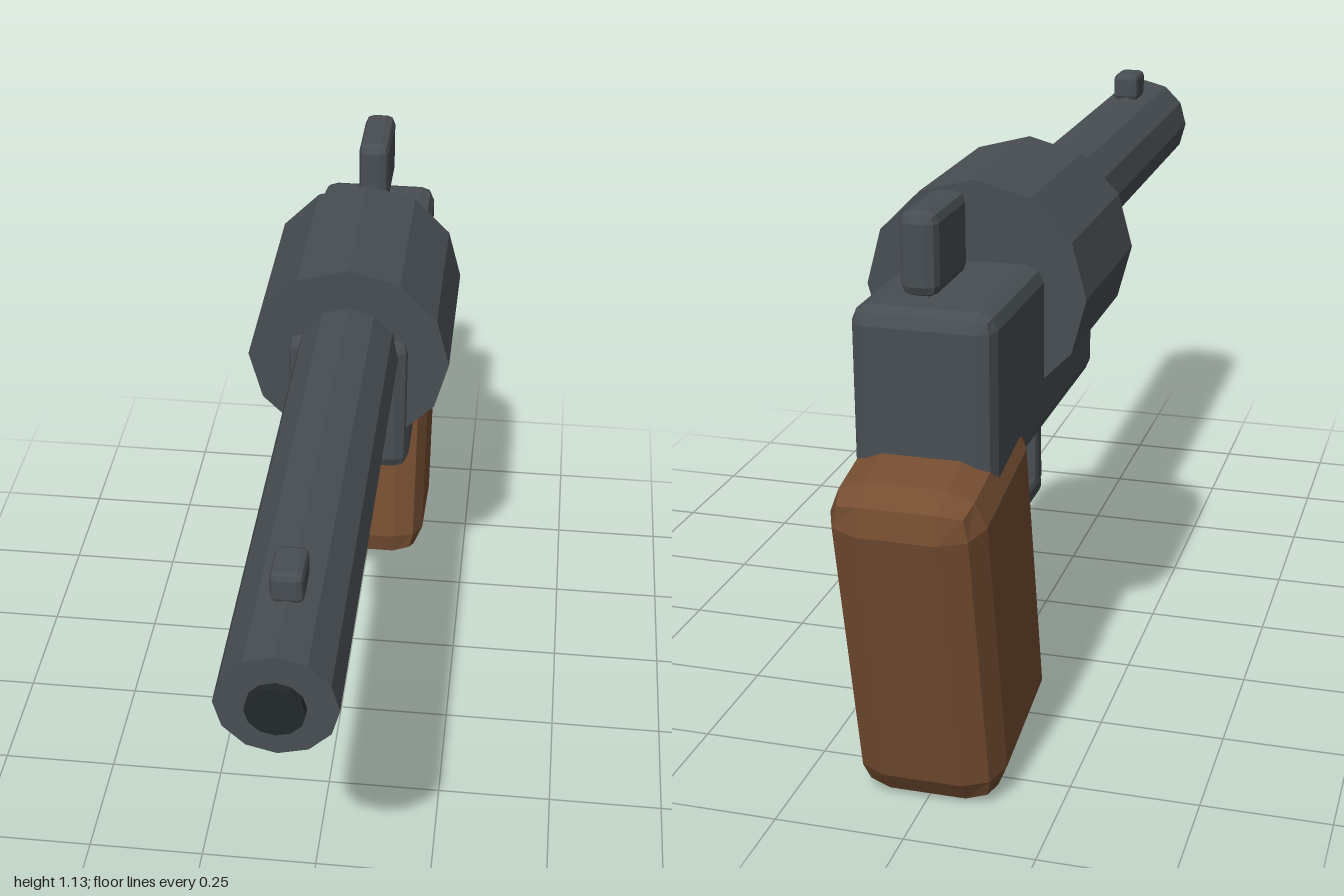
import * as THREE from 'three';
import { RoundedBoxGeometry } from 'three/addons/geometries/RoundedBoxGeometry.js';

const mat = (color) => new THREE.MeshStandardMaterial({ color, flatShading: true });

export function createModel() {
  const model = new THREE.Group();
  const steel = mat(0x484e53);
  const wood = mat(0x754d31);
  const dark = mat(0x23282b);

  const add = (name, geometry, material, y, z) => {
    const mesh = new THREE.Mesh(geometry, material);
    mesh.name = name;
    mesh.position.set(0, y, z);
    model.add(mesh);
    return mesh;
  };

  // Bevelled box spanning y0..y1 and z0..z1, centred on x
  const block = (name, width, y0, y1, z0, z1, bevel) =>
    add(name, new RoundedBoxGeometry(width, y1 - y0, z1 - z0, 1, bevel), steel, (y0 + y1) / 2, (z0 + z1) / 2);

  // Twelve-sided rod along z
  const rod = (name, radius, y, z0, z1, material) =>
    add(name, new THREE.CylinderGeometry(radius, radius, z1 - z0, 12).rotateX(Math.PI / 2), material, y, (z0 + z1) / 2);

  // Barrel, bore and drum
  rod('barrel', 0.109, 0.92, -0.2, 0.985, steel);
  rod('bore', 0.053, 0.92, 0.9, 1.0, dark);
  rod('drum', 0.217, 0.902, -0.515, -0.13, steel);

  // Frame and sights
  block('frame', 0.268, 0.625, 0.962, -0.85, -0.112, 0.032);
  block('hammer', 0.07, 0.988, 1.14, -0.85, -0.662, 0.02);
  block('frontSight', 0.06, 1.02, 1.084, 0.75, 0.84, 0.012);

  // Trigger and its guard
  block('trigger', 0.05, 0.453, 0.602, -0.346, -0.297, 0.014);
  block('guardFront', 0.06, 0.37, 0.622, -0.193, -0.141, 0.012);
  block('guardRear', 0.06, 0.37, 0.622, -0.438, -0.387, 0.012);
  block('guardBottom', 0.06, 0.344, 0.392, -0.438, -0.141, 0.015);

  // Raked grip
  const grip = add('grip', new RoundedBoxGeometry(0.29, 0.685, 0.394, 1, 0.07), wood, 0.366, -0.748);
  grip.rotation.x = -0.2;

  return model;
}
